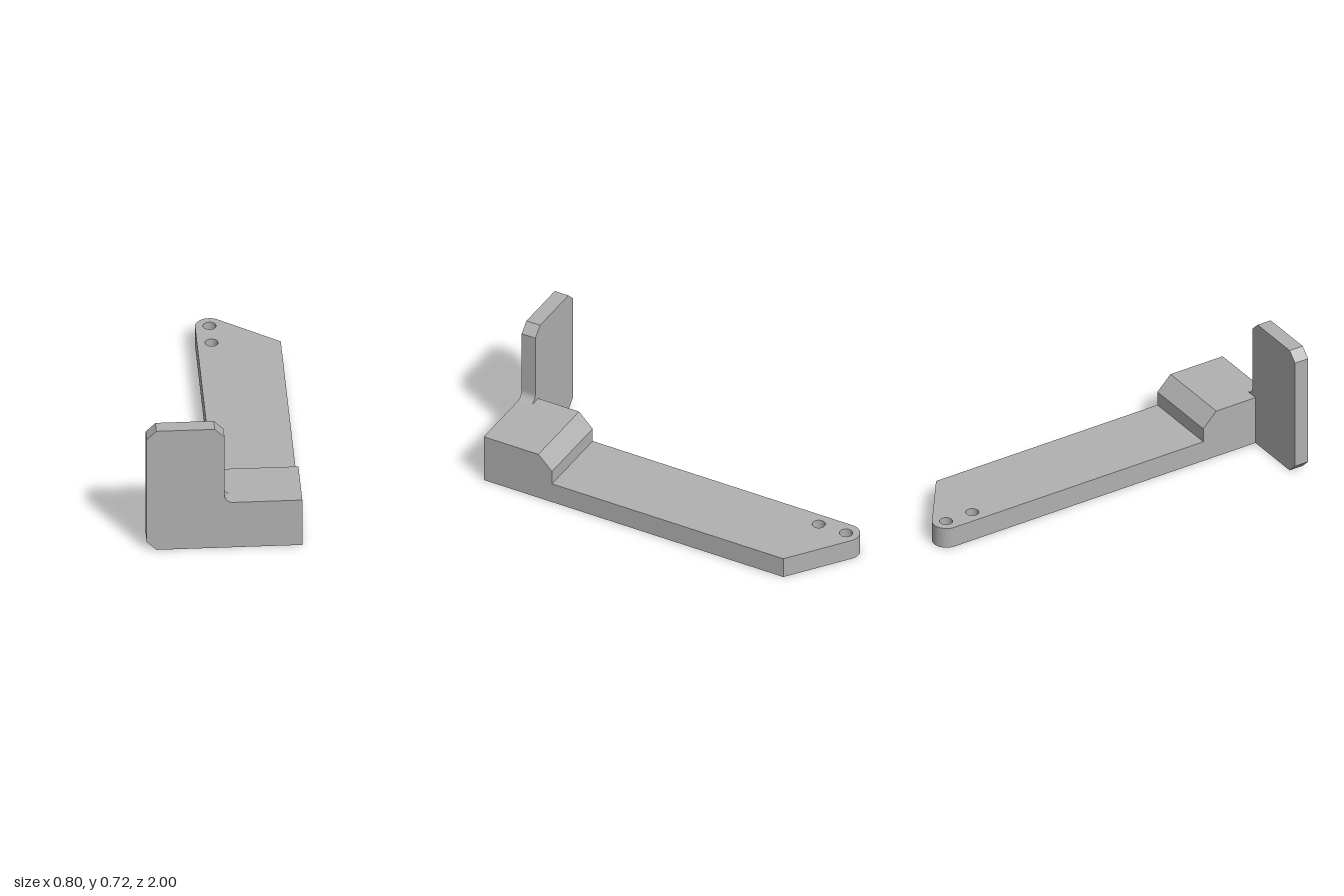
import * as THREE from 'three';

const metal = new THREE.MeshStandardMaterial({ color: 0xb0b0b0 });
metal.name = 'grey metal';

function extrude(name, shape, depth) {
  const geometry = new THREE.ExtrudeGeometry(shape, { depth, bevelEnabled: false, curveSegments: 24 });
  const mesh = new THREE.Mesh(geometry, metal);
  mesh.name = name;
  return mesh;
}

const polygon = (points) => new THREE.Shape(points.map(([x, y]) => new THREE.Vector2(x, y)));

export function createModel() {
  const group = new THREE.Group();
  group.name = 'bracket';

  // L-shaped front plate with clipped corners and an inner fillet
  const plate = new THREE.Shape();
  plate.moveTo(-0.35, 0);
  plate.lineTo(0.4, 0);
  plate.lineTo(0.4, 0.273);
  plate.lineTo(0.045, 0.273);
  plate.absarc(0.045, 0.318, 0.045, -Math.PI / 2, -Math.PI, true);
  plate.lineTo(0, 0.672);
  plate.lineTo(-0.05, 0.722);
  plate.lineTo(-0.35, 0.722);
  plate.lineTo(-0.4, 0.672);
  plate.lineTo(-0.4, 0.05);
  plate.closePath();
  const frontPlate = extrude('frontPlate', plate, 0.08);
  frontPlate.position.z = 0.92;
  group.add(frontPlate);

  // Raised block behind the plate, chamfered along its rear top edge (profile x is -z)
  const block = extrude('raisedBlock', polygon([
    [-0.92, 0], [-0.6, 0], [-0.6, 0.193], [-0.68, 0.273], [-0.92, 0.273],
  ]), 0.43);
  block.geometry.rotateY(Math.PI / 2);
  block.position.x = -0.03;
  group.add(block);

  // Long flat arm with a slanted, rounded tip (outline y is -z)
  const cx = 0.045, cy = 0.925, r = 0.075;
  const dx = 0.4 - cx, dy = 0.757 - cy;
  const tangent = Math.atan2(dy, dx) + Math.acos(r / Math.hypot(dx, dy));
  const outline = new THREE.Shape();
  outline.moveTo(-0.03, -0.6);
  outline.lineTo(0.4, -0.6);
  outline.lineTo(0.4, 0.757);
  outline.absarc(cx, cy, r, tangent, Math.PI, false);
  outline.closePath();

  // Two through holes near the tip
  for (const y of [0.928, 0.768]) {
    outline.holes.push(new THREE.Path().absarc(cx, y, 0.034, 0, Math.PI * 2, true));
  }
  const arm = extrude('arm', outline, 0.115);
  arm.geometry.rotateX(-Math.PI / 2);
  group.add(arm);

  return group;
}
